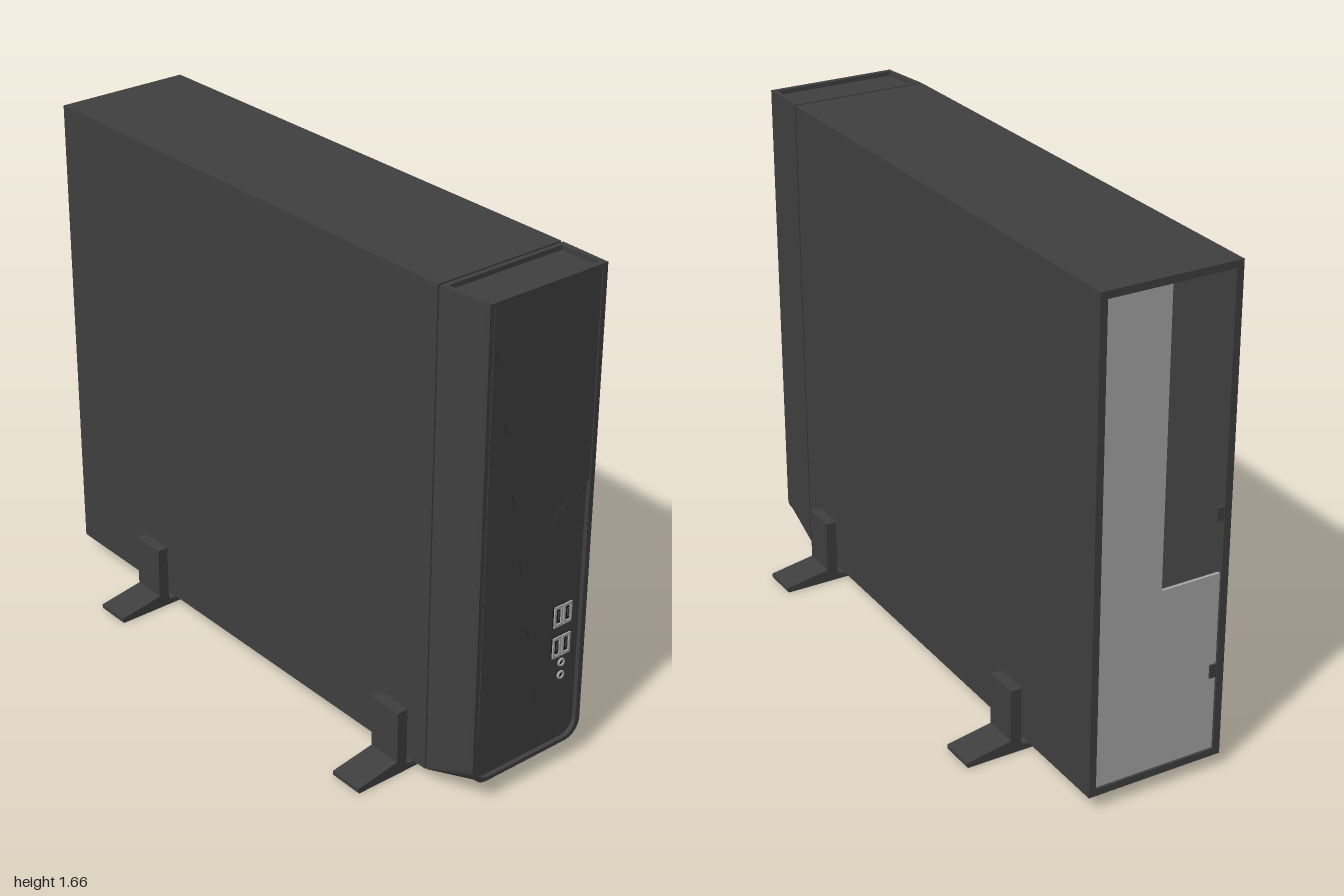
import * as THREE from 'three';

const dark = new THREE.MeshStandardMaterial({ color: 0x404040 });
dark.name = 'charcoal plastic';
const steel = new THREE.MeshStandardMaterial({ color: 0xa8a8a8 });
steel.name = 'bare steel';
const black = new THREE.MeshStandardMaterial({ color: 0x1c1c1c });
black.name = 'black openings';

// Outline with square top corners and rounded bottom corners, counter-clockwise
function outline(xl, xr, yb, yt, r, n = 8) {
  const pts = [];
  for (const [cx, start] of [[xl + r, Math.PI], [xr - r, 1.5 * Math.PI]]) {
    for (let i = 0; i <= n; i++) {
      const a = start + (i / n) * Math.PI / 2;
      pts.push(new THREE.Vector2(cx + r * Math.cos(a), yb + r + r * Math.sin(a)));
    }
  }
  pts.push(new THREE.Vector2(xr, yt), new THREE.Vector2(xl, yt));
  return pts;
}

const polygon = (pairs) => new THREE.Shape(pairs.map(([x, y]) => new THREE.Vector2(x, y)));

// Skin between outlines placed along z
function loft(sections) {
  const pos = [];
  for (let s = 0; s < sections.length - 1; s++) {
    const A = sections[s], B = sections[s + 1], n = A.pts.length;
    for (let i = 0; i < n; i++) {
      const j = (i + 1) % n;
      const a = [A.pts[i].x, A.pts[i].y, A.z], b = [A.pts[j].x, A.pts[j].y, A.z];
      const c = [B.pts[j].x, B.pts[j].y, B.z], d = [B.pts[i].x, B.pts[i].y, B.z];
      pos.push(...a, ...b, ...c, ...a, ...c, ...d);
    }
  }
  const g = new THREE.BufferGeometry();
  g.setAttribute('position', new THREE.Float32BufferAttribute(pos, 3));
  g.computeVertexNormals();
  return g;
}

export function createModel() {
  const model = new THREE.Group();
  model.name = 'slimComputerCase';

  const add = (name, geo, mat, x = 0, y = 0, z = 0, parent = model) => {
    const m = new THREE.Mesh(geo, mat);
    m.name = name;
    m.position.set(x, y, z);
    parent.add(m);
    return m;
  };
  const box = (name, w, h, d, mat, x, y, z, parent) =>
    add(name, new THREE.BoxGeometry(w, h, d), mat, x, y, z, parent);
  const plate = (name, shape, depth, mat, z) =>
    add(name, new THREE.ExtrudeGeometry(shape, { depth, bevelEnabled: false, curveSegments: 8 }), mat, 0, 0, z);

  // Hollow outer shell, open at the back
  const shell = polygon([[-0.235, 0.05], [0.235, 0.05], [0.235, 1.665], [-0.235, 1.665]]);
  shell.holes.push(polygon([[-0.211, 0.074], [-0.211, 1.641], [0.211, 1.641], [0.211, 0.074]]));
  plate('caseShell', shell, 1.812, dark, -1);
  box('innerFrontWall', 0.43, 1.58, 0.01, dark, 0, 0.857, 0.8);

  // Steel rear panel with the large upper opening
  plate('rearPanel', polygon([[-0.211, 0.074], [0.211, 0.074], [0.211, 1.641],
    [-0.005, 1.641], [-0.005, 0.68], [-0.211, 0.68]]), 0.01, steel, -0.992);
  for (const y of [0.35, 0.88]) box('rearTab', 0.025, 0.045, 0.012, dark, -0.2, y, -0.992);

  // Front bezel: tapers on one side and rounds off at the bottom
  const tip = outline(-0.215, 0.232, 0.075, 1.65, 0.06);
  add('bezelBody', loft([
    { z: 0.81, pts: outline(-0.23, 0.23, 0.055, 1.65, 0.004) },
    { z: 0.82, pts: outline(-0.23, 0.23, 0.055, 1.65, 0.004) },
    { z: 0.82, pts: outline(-0.235, 0.235, 0.05, 1.65, 0.006) },
    { z: 0.985, pts: tip },
  ]), dark);
  add('bezelFace', new THREE.ShapeGeometry(new THREE.Shape(tip)), dark, 0, 0, 0.985);

  // Raised lip around the bezel face
  const lip = new THREE.Shape(outline(-0.215, 0.232, 0.075, 1.665, 0.06));
  lip.holes.push(new THREE.Path(outline(-0.2, 0.215, 0.088, 1.655, 0.05).reverse()));
  plate('bezelLip', lip, 0.015, dark, 0.985);

  // Raised border around the sunken bezel top
  const topRim = polygon([[-0.235, 0.82], [0.235, 0.82], [0.232, 0.986], [-0.215, 0.986]]);
  topRim.holes.push(polygon([[-0.216, 0.835], [-0.203, 0.982], [0.216, 0.982], [0.216, 0.835]]));
  const rimGeo = new THREE.ExtrudeGeometry(topRim, { depth: 0.018, bevelEnabled: false });
  rimGeo.rotateX(Math.PI / 2);
  add('bezelTopRim', rimGeo, dark, 0, 1.665, 0);

  // Main front cover, cut away around the port bay
  const cover = new THREE.Shape();
  cover.moveTo(-0.196, 0.225);
  cover.lineTo(-0.1, 0.225);
  cover.lineTo(-0.09, 0.235);
  cover.lineTo(0.045, 0.235);
  cover.quadraticCurveTo(0.073, 0.237, 0.073, 0.265);
  cover.lineTo(0.073, 0.91);
  cover.lineTo(0.212, 0.98);
  cover.lineTo(0.212, 1.657);
  cover.lineTo(-0.196, 1.657);
  plate('frontCover', cover, 0.016, dark, 0.983);

  // Slanted flap at the top of the port bay
  plate('bayFlap', polygon([[0.083, 0.855], [0.211, 0.922], [0.211, 0.968], [0.083, 0.903]]), 0.008, dark, 0.983);

  // Small vent dots running diagonally down the cover
  for (let i = 0; i < 6; i++) {
    for (const k of [-1, 0, 1]) {
      box('ventDot', 0.004, 0.004, 0.002, black, -0.18 + i * 0.042 + k * 0.003, 1.5 - i * 0.24 - k * 0.013, 0.999);
    }
  }

  // Two blocks of paired USB sockets
  for (const y of [0.54, 0.43]) {
    const block = new THREE.Group();
    block.name = 'usbBlock';
    model.add(block);
    box('usbBacking', 0.078, 0.076, 0.004, black, 0.143, y, 0.986, block);
    for (const x of [0.124, 0.162]) {
      const frame = polygon([[-0.017, -0.036], [0.017, -0.036], [0.017, 0.036], [-0.017, 0.036]]);
      frame.holes.push(polygon([[-0.01, -0.026], [-0.01, 0.026], [0.01, 0.026], [0.01, -0.026]]));
      add('usbFrame', new THREE.ExtrudeGeometry(frame, { depth: 0.008, bevelEnabled: false }), steel, x, y, 0.985, block);
      box('usbTongue', 0.007, 0.03, 0.004, dark, x + 0.004, y, 0.989, block);
    }
  }

  // Audio jacks
  for (const y of [0.365, 0.32]) {
    add('audioRing', new THREE.TorusGeometry(0.011, 0.004, 8, 20), steel, 0.15, y, 0.988);
    add('audioHole', new THREE.CircleGeometry(0.01, 20), black, 0.15, y, 0.987);
  }

  // Feet: flat crossbar with tapering toes and uprights gripping the sides
  const half = [[0.43, 0.004], [0.43, 0.018], [0.275, 0.045], [0.275, 0.225], [0.237, 0.225], [0.237, 0.03], [0.228, 0.02]];
  const footShape = polygon([[-0.43, 0.004], [-0.425, 0], [0.425, 0], ...half,
    ...half.slice(1).reverse().map(([x, y]) => [-x, y])]);
  for (const z of [0.61, -0.62]) {
    plate(z > 0 ? 'frontFoot' : 'rearFoot', footShape, 0.12, dark, z);
  }

  return model;
}
